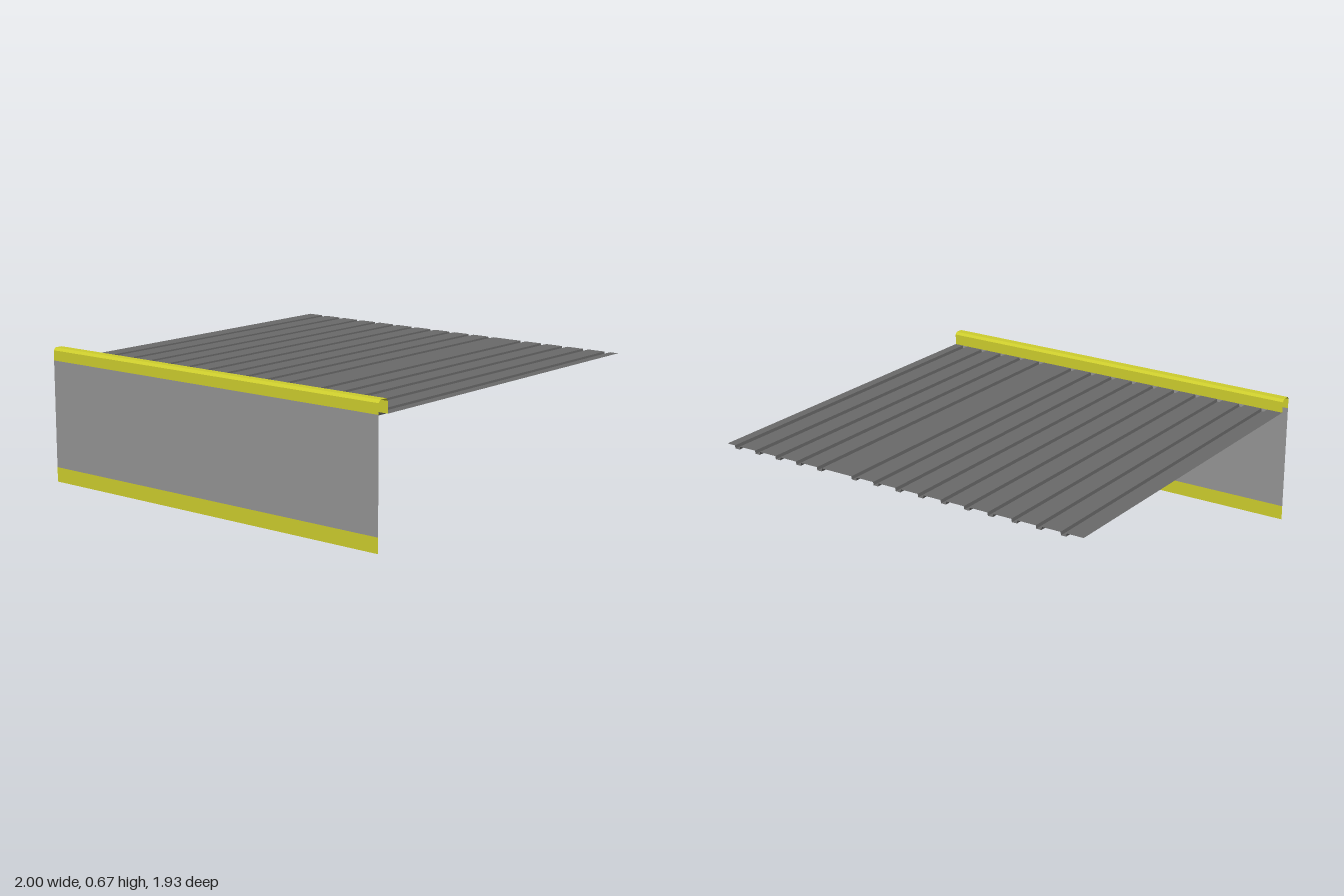
import * as THREE from 'three';

const material = (name, color) =>
  new THREE.MeshStandardMaterial({ name, color, side: THREE.DoubleSide });

// Open sheet: a 2D profile swept between two ends; place(p, end) gives a 3D point
function sheet(name, profile, ends, place, mat) {
  const pos = [];
  for (let i = 0; i < profile.length - 1; i++) {
    const a = place(profile[i], ends[0]), b = place(profile[i], ends[1]);
    const c = place(profile[i + 1], ends[1]), d = place(profile[i + 1], ends[0]);
    pos.push(...a, ...b, ...c, ...a, ...c, ...d);
  }
  const geo = new THREE.BufferGeometry();
  geo.setAttribute('position', new THREE.Float32BufferAttribute(pos, 3));
  geo.computeVertexNormals();
  const mesh = new THREE.Mesh(geo, mat);
  mesh.name = name;
  return mesh;
}

export function createModel() {
  const yellow = material('yellow trim', 0xcdcd2d);
  const grey = material('grey panel', 0x949494);
  const dark = material('dark roof', 0x6a6a6a);

  const group = new THREE.Group();
  group.name = 'canopy';

  // Profiles given as [z, y], swept along the width
  const alongX = ([z, y], x) => [x, y, z];
  const front = 0.963;
  const add = (name, profile, mat) =>
    group.add(sheet(name, profile, [-1, 1], alongX, mat));

  add('bottomBand', [[front, 0], [front, 0.073]], yellow);
  add('frontPanel', [[front, 0.073], [front, 0.605]], grey);
  // Bevelled cap, open underneath
  add('edgeTrim', [
    [front, 0.605], [front, 0.655], [0.952, 0.668],
    [0.911, 0.668], [0.9, 0.655], [0.9, 0.6],
  ], yellow);

  // Roof sheet with pressed grooves, profile as [x, y], swept along the depth
  const top = 0.6, low = 0.585, pitch = 0.1257;
  const centres = [];
  for (let i = 0; i < 10; i++) centres.push(-0.9 + i * pitch);
  for (let i = 0; i < 5; i++) centres.push(0.434 + i * pitch);
  const roof = [[-1, top]];
  for (const c of centres) {
    roof.push([c - 0.016, top], [c - 0.013, low], [c + 0.013, low], [c + 0.016, top]);
  }
  roof.push([1, top]);
  group.add(sheet('ribbedRoof', roof, [-0.965, 0.9], ([x, y], z) => [x, y, z], dark));

  return group;
}
